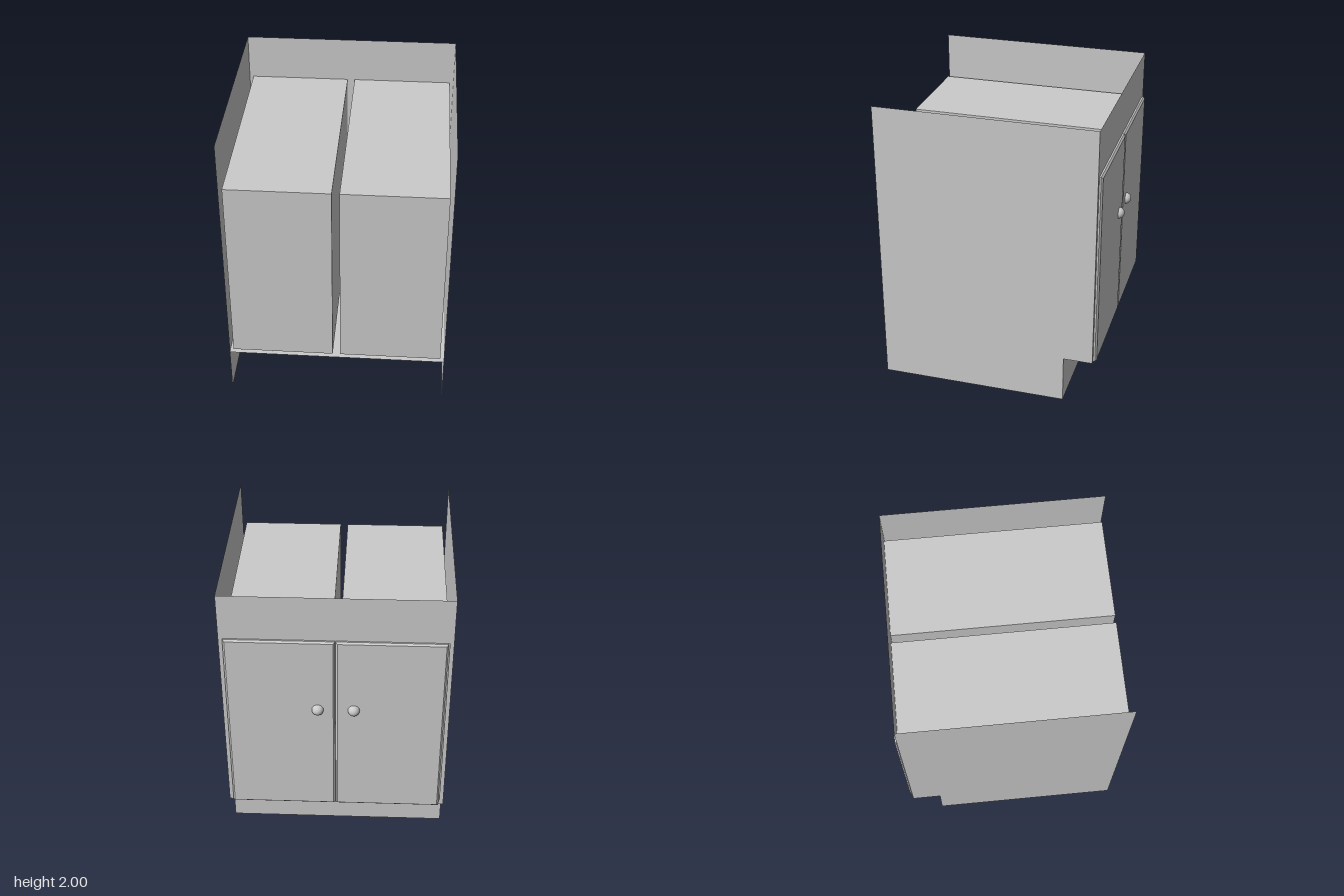
import * as THREE from 'three';

const W = 0.737, BACK = 0.766, FACE = -0.707, TOE = -0.51, FLOOR = 0.33, TOP = 2;
const DOOR_TOP = 1.685, DOOR_T = 0.022;

const sheet = new THREE.MeshStandardMaterial({ color: 0xcccccc, side: THREE.DoubleSide });
const solid = new THREE.MeshStandardMaterial({ color: 0xcccccc });

function add(parent, name, geometry, material, x = 0, y = 0, z = 0) {
  const mesh = new THREE.Mesh(geometry, material);
  mesh.name = name;
  mesh.position.set(x, y, z);
  parent.add(mesh);
  return mesh;
}

function rect(Type, x0, y0, x1, y1) {
  return new Type([[x0, y0], [x1, y0], [x1, y1], [x0, y1]].map(p => new THREE.Vector2(...p)));
}

// Slab whose outer (-z) edges are chamfered
function doorGeometry(w, h, t, inset) {
  const box = new THREE.BoxGeometry(w, h, t, 1, 1, 2);
  const p = box.attributes.position;
  for (let i = 0; i < p.count; i++) {
    if (p.getZ(i) < -t * 0.4) {
      p.setX(i, p.getX(i) - Math.sign(p.getX(i)) * inset);
      p.setY(i, p.getY(i) - Math.sign(p.getY(i)) * inset);
    }
  }
  const flat = box.toNonIndexed();
  flat.computeVertexNormals();
  return flat;
}

// Five-sided recess, open towards the door (-z)
function recessGeometry(w, h, d) {
  const box = new THREE.BoxGeometry(w, h, d);
  box.setIndex(Array.from(box.index.array).slice(0, 30));
  box.clearGroups();
  return box;
}

export function createModel() {
  const cabinet = new THREE.Group();
  cabinet.name = 'baseCabinet';

  // Thin side panels with the toe notch; shape x runs along -z
  const profile = new THREE.Shape([
    [-BACK, 0], [-TOE, 0], [-TOE, FLOOR], [-FACE, FLOOR], [-FACE, TOP], [-BACK, TOP],
  ].map(p => new THREE.Vector2(...p)));
  for (const s of [-1, 1]) {
    const panel = add(cabinet, s > 0 ? 'leftSidePanel' : 'rightSidePanel',
      new THREE.ShapeGeometry(profile), sheet, s * W);
    panel.rotation.y = Math.PI / 2;
  }

  // Face frame with two door openings
  const frame = rect(THREE.Shape, -W, FLOOR, W, TOP);
  frame.holes.push(rect(THREE.Path, -0.71, 0.36, -0.025, DOOR_TOP));
  frame.holes.push(rect(THREE.Path, 0.025, 0.36, 0.71, DOOR_TOP));
  const face = add(cabinet, 'faceFrame', new THREE.ShapeGeometry(frame), sheet, 0, 0, FACE);
  face.rotation.y = Math.PI;

  // Toe kick and floor
  const toe = add(cabinet, 'toeKick', new THREE.PlaneGeometry(2 * W, FLOOR), sheet, 0, FLOOR / 2, TOE);
  toe.rotation.y = Math.PI;
  const floor = add(cabinet, 'floor', new THREE.PlaneGeometry(2 * W, BACK - FACE), sheet,
    0, FLOOR, (BACK + FACE) / 2);
  floor.rotation.x = -Math.PI / 2;

  // Compartments, doors and knobs
  const doorH = DOOR_TOP - FLOOR;
  for (const s of [-1, 1]) {
    const side = s > 0 ? 'left' : 'right';
    add(cabinet, side + 'Compartment', recessGeometry(0.685, DOOR_TOP - 0.36, BACK - FACE), sheet,
      s * 0.3675, (DOOR_TOP + 0.36) / 2, (BACK + FACE) / 2);
    add(cabinet, side + 'Door', doorGeometry(0.705, doorH, DOOR_T, 0.012), solid,
      s * 0.354 + 0.003, FLOOR + doorH / 2, FACE - DOOR_T / 2);
    add(cabinet, side + 'Knob', new THREE.SphereGeometry(0.039, 24, 16), solid,
      s * 0.117, 1.153, FACE - DOOR_T + 0.002);
  }
  return cabinet;
}
